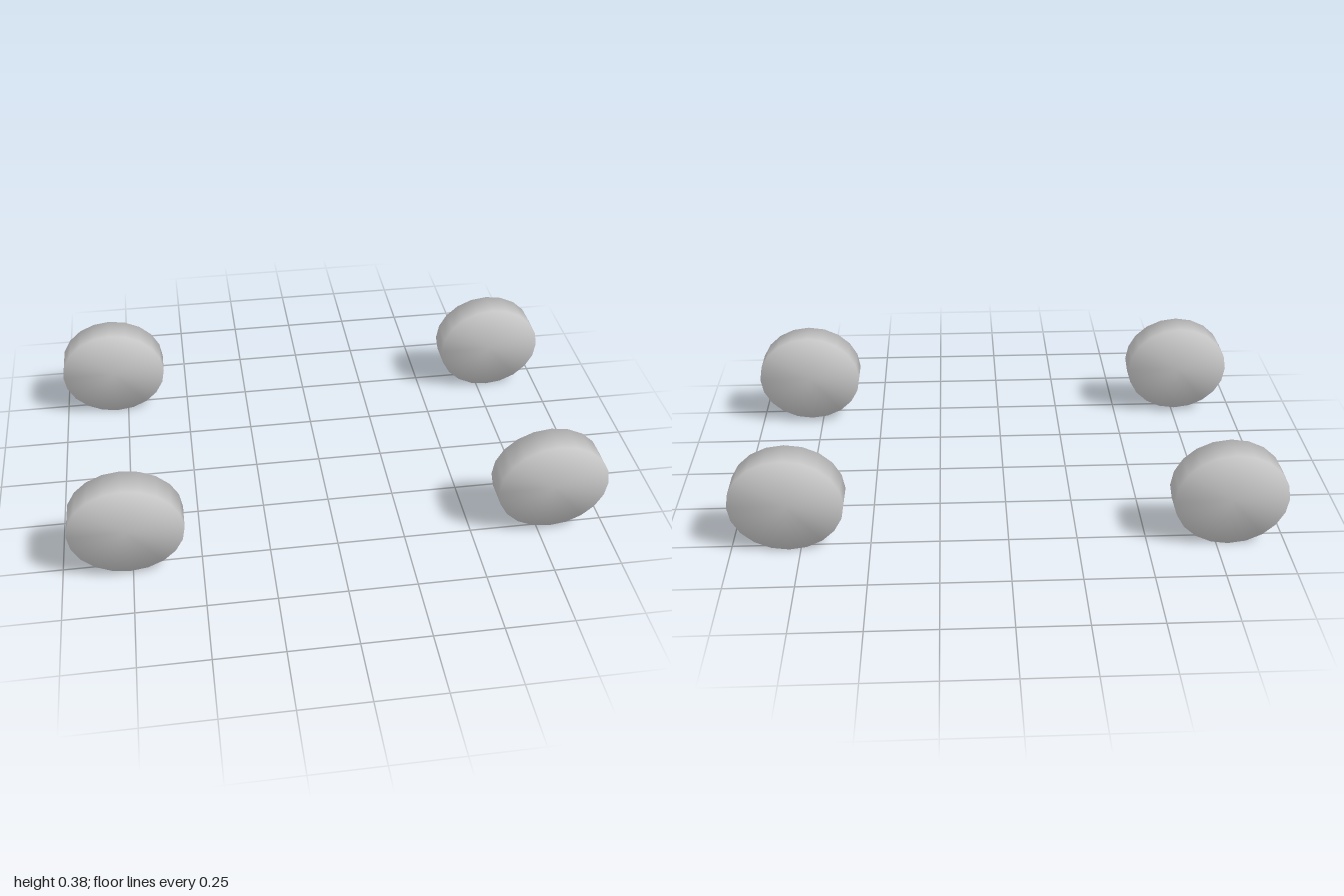
import * as THREE from 'three';
import { mergeVertices } from 'three/addons/utils/BufferGeometryUtils.js';

// Solid disc with its axle along z, slightly wider than tall, shaded smoothly over the rim
function wheelGeometry(width, height, depth) {
  const disc = new THREE.CylinderGeometry(0.5, 0.5, 1, 20);
  disc.rotateX(Math.PI / 2);
  disc.scale(width, height, depth);
  disc.deleteAttribute('normal');
  disc.deleteAttribute('uv');
  const smooth = mergeVertices(disc, 1e-4);
  smooth.computeVertexNormals();
  return smooth;
}

export function createModel() {
  const group = new THREE.Group();
  const material = new THREE.MeshStandardMaterial({ color: 0xcccccc });
  const geometry = wheelGeometry(0.412, 0.37, 0.112);

  // Four separate wheels, each with its own slight offset
  const wheels = [
    ['frontLeftWheel', 0.792, 0.2, 0.472],
    ['frontRightWheel', -0.76, 0.2, 0.497],
    ['backLeftWheel', 0.792, 0.187, -0.472],
    ['backRightWheel', -0.794, 0.187, -0.5],
  ];
  for (const [name, x, y, z] of wheels) {
    const wheel = new THREE.Mesh(geometry, material);
    wheel.name = name;
    wheel.position.set(x, y, z);
    group.add(wheel);
  }
  return group;
}
